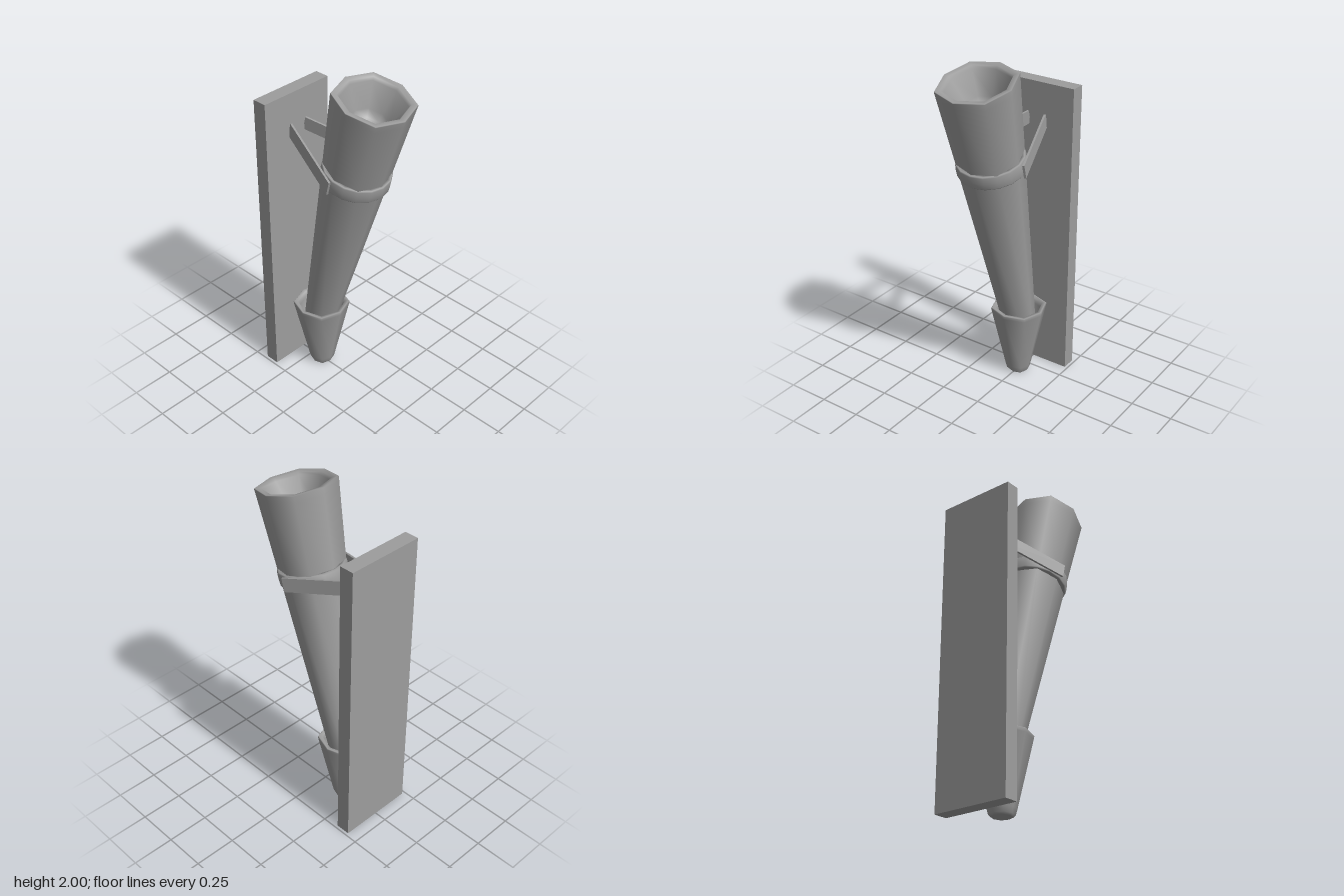
import * as THREE from 'three';

const material = new THREE.MeshStandardMaterial({ color: 0x9d9d9d });

// Turned part from [radius, height] pairs
function turned(name, profile, sides) {
  const points = profile.map(([r, y]) => new THREE.Vector2(r, y));
  const mesh = new THREE.Mesh(new THREE.LatheGeometry(points, sides), material);
  mesh.name = name;
  return mesh;
}

// Eight-sided turned part whose diagonal corners stand out a little further
function octagonal(name, profile) {
  const mesh = turned(name, profile, 8);
  const pos = mesh.geometry.attributes.position;
  for (let i = 0; i < pos.count; i++) {
    if (Math.floor(i / profile.length) % 2 === 1) {
      pos.setXYZ(i, pos.getX(i) * 1.06, pos.getY(i), pos.getZ(i) * 1.06);
    }
  }
  return mesh;
}

function box(name, w, h, d) {
  const mesh = new THREE.Mesh(new THREE.BoxGeometry(w, h, d), material);
  mesh.name = name;
  return mesh;
}

export function createModel() {
  const model = new THREE.Group();
  model.name = 'wallTorch';

  // Flat wall board
  const board = box('wallBoard', 0.085, 1.795, 0.464);
  board.position.set(-0.3825, 0.8975, 0);
  model.add(board);

  // Hollow cup holding the foot of the torch
  const cup = octagonal('baseCup', [
    [0, 0], [0.056, 0], [0.067, 0.012], [0.075, 0.045], [0.155, 0.425], [0.158, 0.443], [0.154, 0.448],
    [0.134, 0.445], [0.122, 0.42], [0.09, 0.26], [0, 0.26],
  ]);
  cup.position.x = -0.175;
  model.add(cup);

  // Everything on the leaning axis; origin at the centre of the mouth
  const leaning = new THREE.Group();
  leaning.name = 'leaningTorch';
  leaning.position.set(0.2185, 1.95, 0);
  leaning.rotation.z = -0.2425;
  model.add(leaning);

  // Tapered shaft with a funnel and a small recess in its top
  leaning.add(octagonal('torchShaft', [
    [0, -1.66], [0.093, -1.66], [0.094, -1.645], [0.174, -0.5], [0.207, -0.04], [0.21, -0.004], [0.208, 0],
    [0.178, -0.004], [0.168, -0.02], [0.1, -0.143], [0.085, -0.19], [0, -0.205],
  ]));

  // Rounder band around the shaft
  const band = turned('holdingBand', [
    [0.165, -0.041], [0.186, -0.041], [0.191, -0.034], [0.193, 0],
    [0.191, 0.034], [0.186, 0.041], [0.165, 0.041], [0.165, -0.041],
  ], 16);
  band.position.y = -0.498;
  leaning.add(band);

  // Pair of flat arms spreading from the board to the band
  for (const side of [-1, 1]) {
    const arm = box(side > 0 ? 'leftArm' : 'rightArm', 0.483, 0.08, 0.012);
    arm.position.set(-0.226, -0.496, side * 0.133);
    arm.rotation.y = -side * 0.331;
    leaning.add(arm);
  }
  return model;
}
